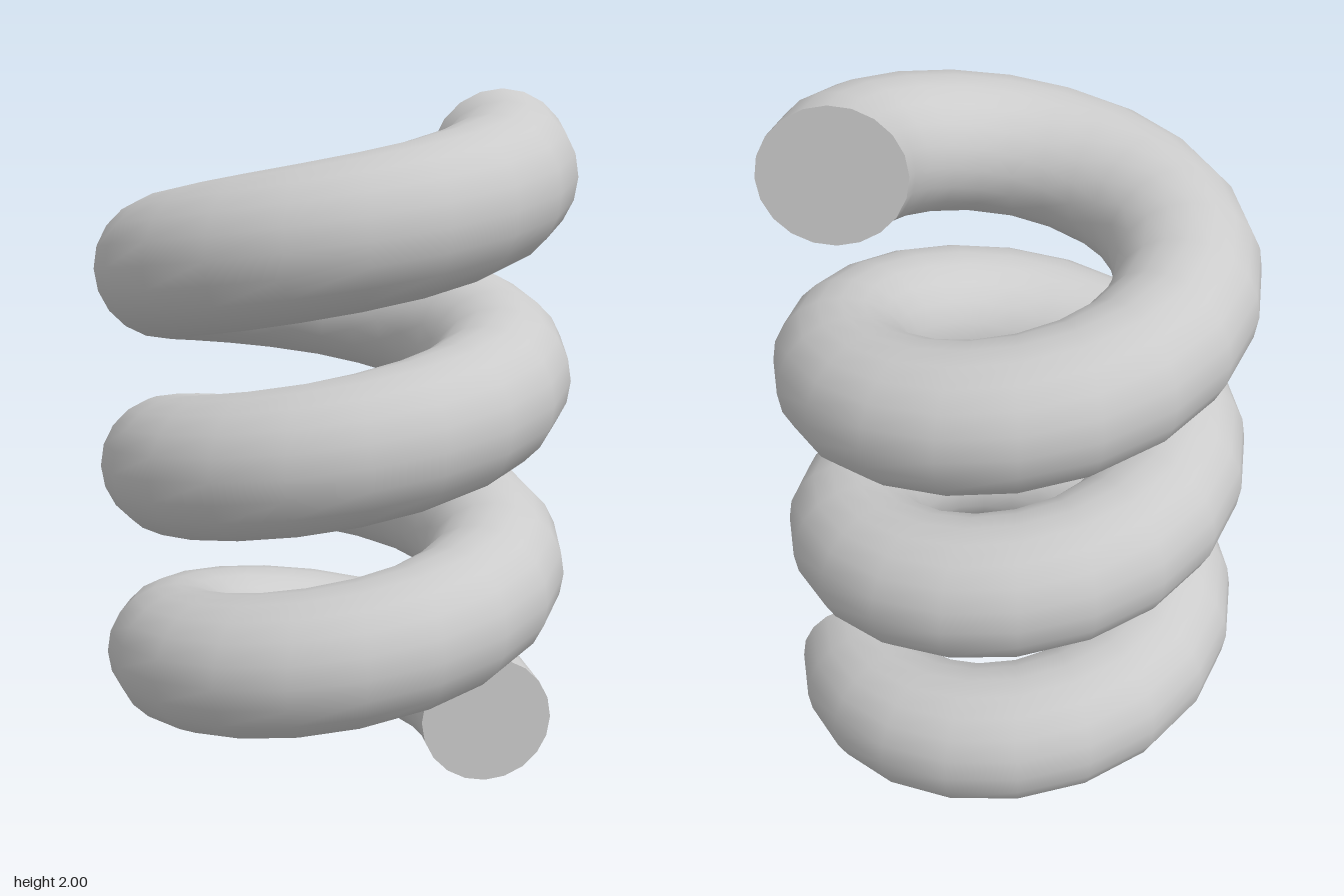
import * as THREE from 'three';

const TURNS = 3, STEPS = 20, SIDES = 20; // steps per turn, sides of the round section
const COIL = 0.45, WIRE = 0.192;         // coil radius, wire radius
const RISE = 2 - 2 * WIRE;               // climb of the section centre

// Sweep an upright circular section up a helix
function coilGeometry() {
  const positions = [], index = [];
  const rings = TURNS * STEPS;
  for (let i = 0; i <= rings; i++) {
    const turn = (i / STEPS) * Math.PI * 2;
    const centreY = WIRE + (RISE * i) / rings;
    for (let j = 0; j < SIDES; j++) {
      const a = (j / SIDES) * Math.PI * 2;
      const r = COIL + WIRE * Math.cos(a);
      positions.push(r * Math.cos(turn), centreY + WIRE * Math.sin(a), -r * Math.sin(turn));
      if (i === rings) continue;
      const k = (j + 1) % SIDES, p = i * SIDES, q = p + SIDES;
      index.push(p + j, q + j, q + k, p + j, q + k, p + k);
    }
  }
  const geometry = new THREE.BufferGeometry();
  geometry.setAttribute('position', new THREE.Float32BufferAttribute(positions, 3));
  geometry.setIndex(index);
  geometry.computeVertexNormals();
  return geometry;
}

export function createModel() {
  const group = new THREE.Group();
  group.name = 'coilSpring';
  const material = new THREE.MeshStandardMaterial({ color: 0xcccccc });

  const coil = new THREE.Mesh(coilGeometry(), material);
  coil.name = 'coil';
  group.add(coil);

  // Flat cut ends: the lower faces forward, the upper faces back
  const addCap = (name, y, turn) => {
    const cap = new THREE.Mesh(new THREE.CircleGeometry(WIRE, SIDES), material);
    cap.name = name;
    cap.position.set(COIL, y, 0);
    cap.rotation.y = turn;
    group.add(cap);
  };
  addCap('lowerEnd', WIRE, 0);
  addCap('upperEnd', WIRE + RISE, Math.PI);

  return group;
}
